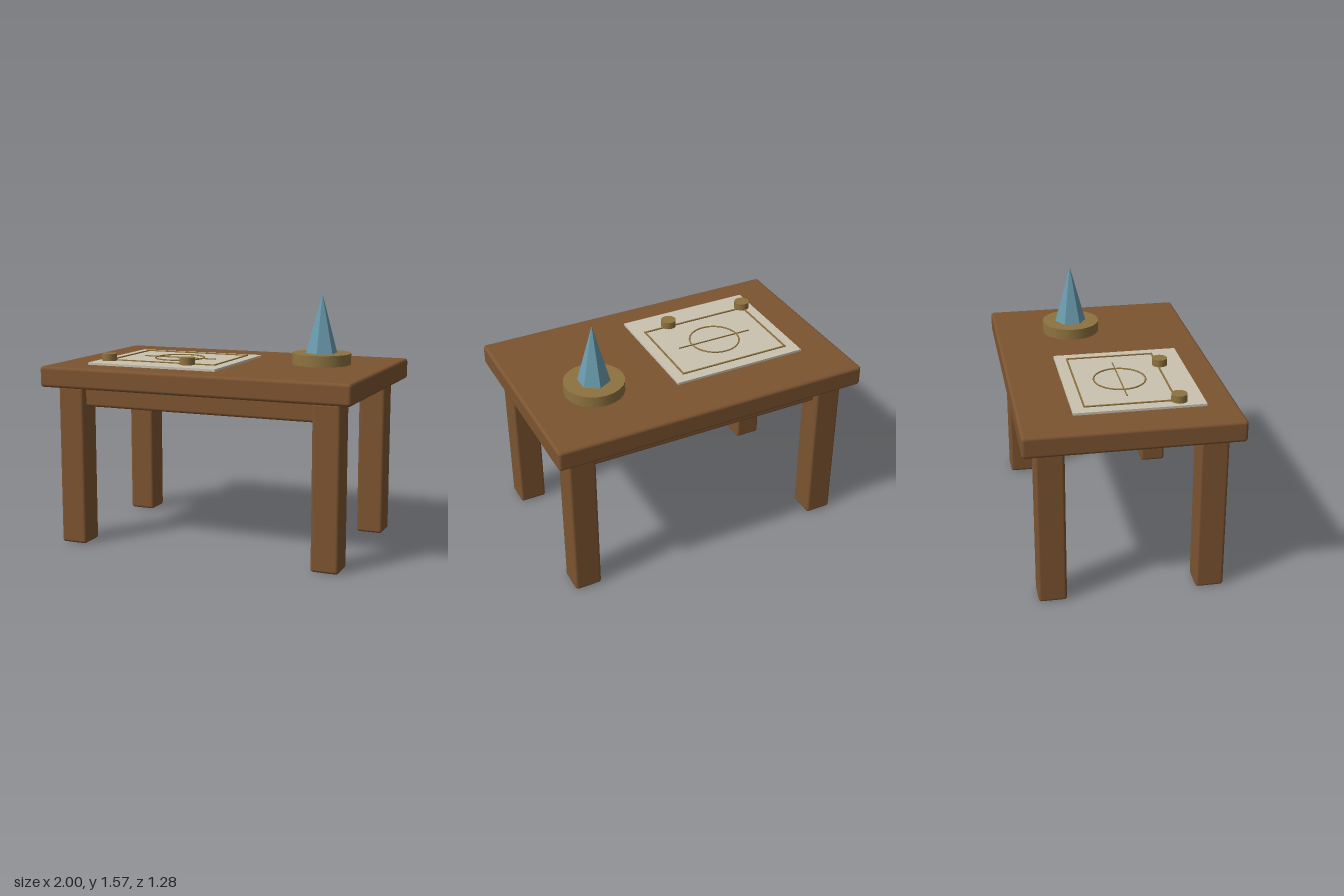
import * as THREE from 'three';
import { RoundedBoxGeometry } from 'three/addons/geometries/RoundedBoxGeometry.js';

export function createModel() {
  const model = new THREE.Group();
  model.name = 'draftingTable';

  const material = (name, color, flatShading = false) => {
    const m = new THREE.MeshStandardMaterial({ color, flatShading });
    m.name = name;
    return m;
  };
  const wood = material('wood', 0x7c5431);
  const brass = material('brass', 0x8e7340);
  const paper = material('paper', 0xcbc2b0);
  const crystal = material('crystal', 0x6a9bad, true);

  const add = (name, geometry, mat, x, y, z) => {
    const mesh = new THREE.Mesh(geometry, mat);
    mesh.name = name;
    mesh.position.set(x, y, z);
    model.add(mesh);
    return mesh;
  };

  // Table top, legs and the two long rails
  add('tableTop', new RoundedBoxGeometry(2, 0.13, 1.28, 2, 0.02), wood, 0, 1.065, 0);
  for (const sz of [1, -1]) {
    const end = sz > 0 ? 'front' : 'back';
    for (const sx of [1, -1]) {
      add(`${end}${sx > 0 ? 'Left' : 'Right'}Leg`,
        new RoundedBoxGeometry(0.17, 1, 0.17, 2, 0.018), wood, sx * 0.83, 0.5, sz * 0.475);
    }
    add(`${end}Rail`, new RoundedBoxGeometry(1.54, 0.13, 0.08, 2, 0.018), wood, 0, 0.94, sz * 0.475);
  }

  // Paper sheet
  add('sheet', new THREE.BoxGeometry(0.86, 0.014, 0.78), paper, -0.33, 1.137, 0.07);

  // Drawn frame, circle and centre line
  const lineY = 1.147;
  for (const z of [-0.245, 0.295]) {
    add('frameLongLine', new THREE.BoxGeometry(0.725, 0.007, 0.01), brass, -0.33, lineY, z);
  }
  for (const x of [-0.687, 0.027]) {
    add('frameShortLine', new THREE.BoxGeometry(0.01, 0.007, 0.54), brass, x, lineY, 0.025);
  }
  const ring = add('drawnCircle', new THREE.TorusGeometry(0.157, 0.005, 6, 40), brass, -0.33, lineY, 0.025);
  ring.rotation.x = -Math.PI / 2;
  add('centreLine', new THREE.BoxGeometry(0.5, 0.007, 0.006), brass, -0.33, lineY, 0.025);

  // Paper weights
  for (const x of [-0.687, -0.147]) {
    add('paperWeight', new THREE.CylinderGeometry(0.048, 0.048, 0.046, 14), brass, x, 1.166, 0.31);
  }

  // Crystal spire on its round stand
  add('crystalStand', new THREE.CylinderGeometry(0.185, 0.185, 0.07, 24), brass, 0.57, 1.165, -0.143);
  add('crystalSpire', new THREE.ConeGeometry(0.1, 0.37, 6), crystal, 0.57, 1.385, -0.143);

  return model;
}
